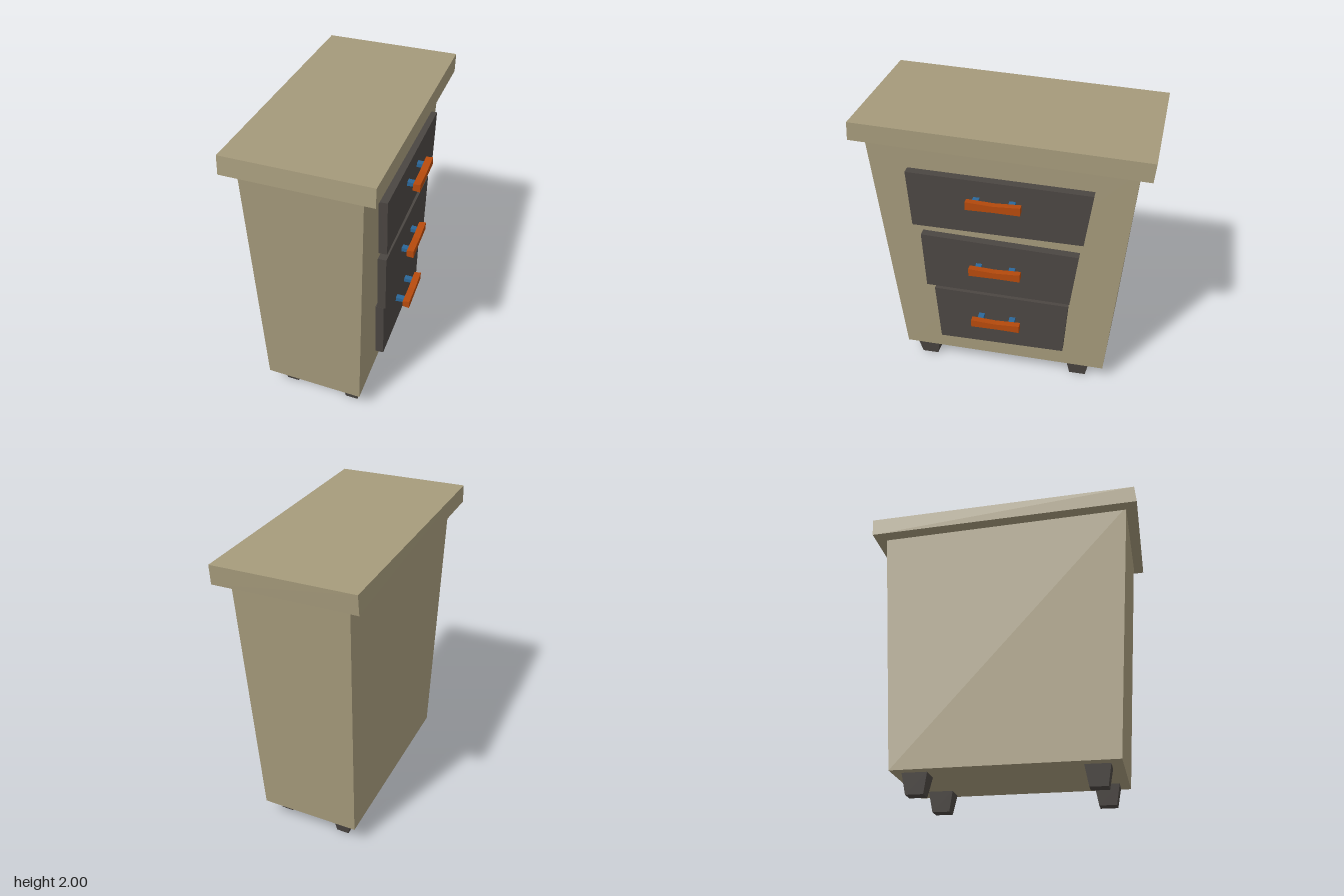
import * as THREE from 'three';

const paint = (name, color) => {
  const m = new THREE.MeshStandardMaterial({ color });
  m.name = name;
  return m;
};

// Flat-faced solid through four-cornered rings, each counter-clockwise seen from the last ring's end
function loft(rings) {
  const pos = [];
  const quad = (a, b, c, d) => pos.push(...a, ...b, ...c, ...a, ...c, ...d);
  for (let r = 0; r < rings.length - 1; r++) {
    const a = rings[r], b = rings[r + 1];
    for (let i = 0; i < 4; i++) {
      const j = (i + 1) % 4;
      quad(a[i], a[j], b[j], b[i]);
    }
  }
  const first = rings[0], last = rings[rings.length - 1];
  quad(first[3], first[2], first[1], first[0]);
  quad(...last);
  const g = new THREE.BufferGeometry();
  g.setAttribute('position', new THREE.Float32BufferAttribute(pos, 3));
  g.computeVertexNormals();
  return g;
}

export function createModel() {
  const model = new THREE.Group();
  model.name = 'crookedDrawerCabinet';
  const wood = paint('tanWood', 0xa59a7b);
  const dark = paint('darkWood', 0x4b4642);
  const orange = paint('orangeHandle', 0xb64a0c);
  const blue = paint('bluePost', 0x2a6698);

  const add = (parent, name, rings, material) => {
    const mesh = new THREE.Mesh(loft(rings), material);
    mesh.name = name;
    parent.add(mesh);
  };

  // Tapering, skewed carcass
  add(model, 'body', [
    [[-0.39, 0.135, 0.70], [0.28, 0.135, 0.74], [0.30, 0.135, -0.70], [-0.37, 0.135, -0.73]],
    [[-0.42, 1.90, 0.83], [0.34, 1.90, 0.87], [0.37, 1.84, -0.825], [-0.39, 1.84, -0.855]],
  ], wood);

  // Sloping top slab
  add(model, 'topSlab', [
    [[-0.50, 1.88, 0.90], [0.425, 1.88, 0.94], [0.455, 1.815, -0.895], [-0.475, 1.815, -0.93]],
    [[-0.50, 2.00, 0.89], [0.425, 2.00, 0.93], [0.455, 1.94, -0.905], [-0.47, 1.94, -0.94]],
  ], wood);

  // Tapered feet
  const feet = [[-0.255, 0.555], [0.195, 0.59], [0.205, -0.52], [-0.245, -0.58]];
  const footRing = (x, z, y, w, d) =>
    [[x - w, y, z + d], [x + w, y, z + d + 0.005], [x + w, y, z - d], [x - w, y, z - d - 0.005]];
  for (const [x, z] of feet) {
    add(model, 'foot', [footRing(x, z, 0, 0.043, 0.055), footRing(x, z, 0.14, 0.065, 0.08)], dark);
  }

  // Drawers: corners as [z, y], then inner x, outer x and handle height, reach and ends
  const drawers = [
    { c: [[0.585, 1.29], [-0.52, 1.285], [-0.565, 1.655], [0.605, 1.68]], inner: 0.347, outer: 0.402, y: 1.54, bar: 0.45, z: [-0.135, 0.207] },
    { c: [[0.525, 0.79], [-0.45, 0.78], [-0.495, 1.175], [0.54, 1.205]], inner: 0.331, outer: 0.386, y: 1.012, bar: 0.433, z: [-0.13, 0.207] },
    { c: [[0.455, 0.31], [-0.415, 0.325], [-0.44, 0.735], [0.48, 0.745]], inner: 0.306, outer: 0.361, y: 0.56, bar: 0.423, z: [-0.125, 0.205] },
  ];
  for (const d of drawers) {
    const drawer = new THREE.Group();
    drawer.name = 'drawer';
    model.add(drawer);
    const face = x => d.c.map(([z, y]) => [x + (0.5 - z) * 0.014, y, z]);
    add(drawer, 'drawerFront', [face(d.inner), face(d.outer)], dark);

    // Handle bar, slimmer in the middle and wider on its outer side
    const [z0, z1] = d.z, mid = (z0 + z1) / 2;
    const barRing = (z, h, dy) => {
      const y = d.y + dy;
      return [[d.bar, y - h * 0.8, z], [d.bar + 0.047, y - h, z], [d.bar + 0.047, y + h, z], [d.bar, y + h * 0.8, z]];
    };
    add(drawer, 'handleBar',
      [barRing(z0, 0.028, 0), barRing(mid, 0.022, -0.002), barRing(z1, 0.028, 0.003)], orange);

    // Two posts holding the bar
    for (const z of [z0 + 0.063, z1 - 0.052]) {
      const post = (x, r) => [[x, d.y - r, z + 0.02], [x, d.y - r, z - 0.02], [x, d.y + r, z - 0.02], [x, d.y + r, z + 0.02]];
      add(drawer, 'handlePost', [post(d.outer - 0.01, 0.016), post(d.bar + 0.012, 0.011)], blue);
    }
  }
  return model;
}
